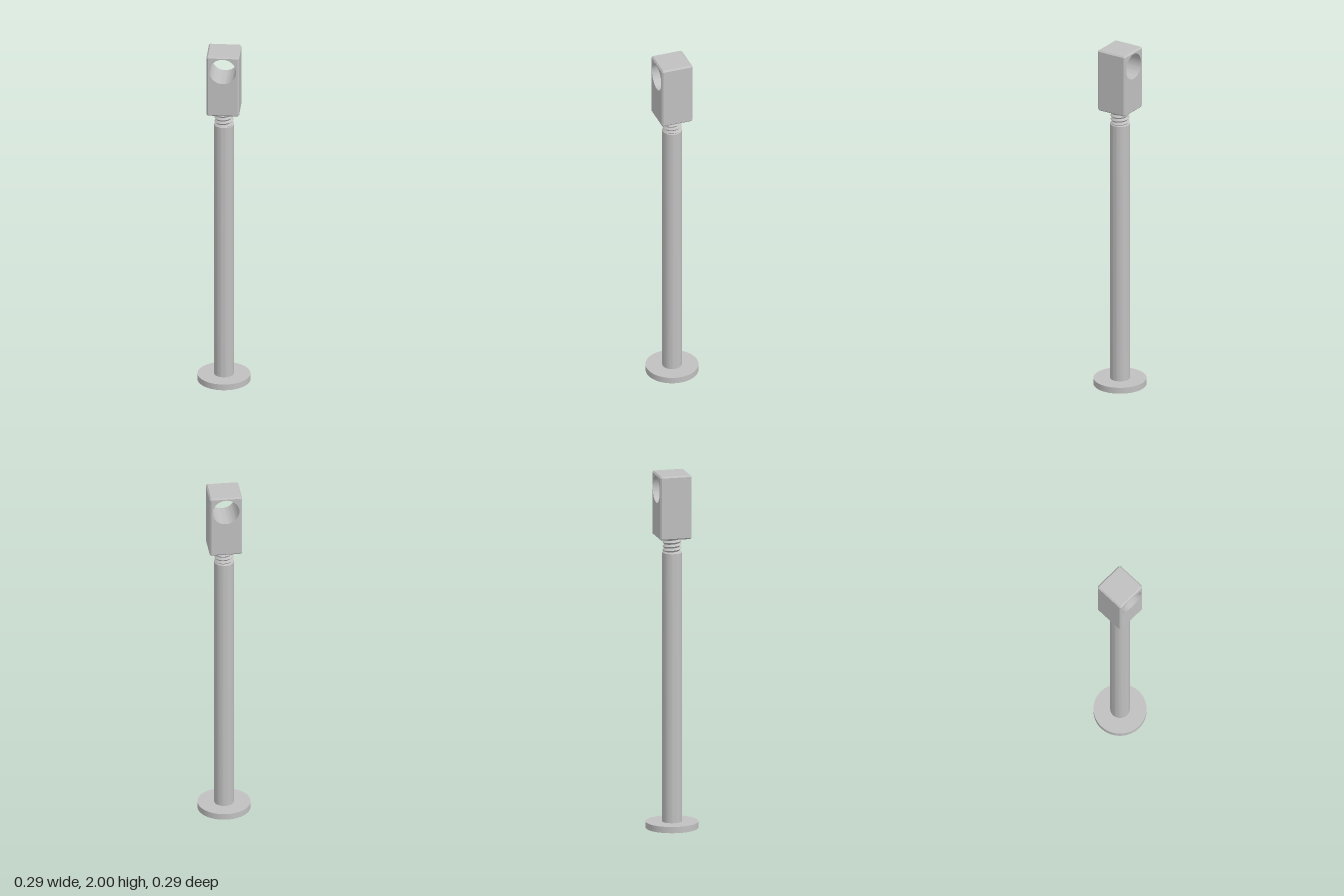
import * as THREE from 'three';
import { toCreasedNormals } from 'three/addons/utils/BufferGeometryUtils.js';

const SEGMENTS = 48;
const steel = new THREE.MeshStandardMaterial({ color: 0xc0c0c0 });
steel.name = 'plain steel grey';

// Chamfered square block with a straight round bore from front to back
function headGeometry() {
  const half = 0.09, bottom = 1.64, top = 2, chamfer = 0.008;
  const boreY = 1.912, boreR = 0.074;
  const x = half - chamfer, y0 = bottom + chamfer, y1 = top - chamfer;
  const cut = chamfer * (Math.SQRT2 - 1);
  const shape = new THREE.Shape([
    [-x + cut, y0], [x - cut, y0], [x, y0 + cut], [x, y1 - cut],
    [x - cut, y1], [-x + cut, y1], [-x, y1 - cut], [-x, y0 + cut],
  ].map(([px, py]) => new THREE.Vector2(px, py)));
  shape.holes.push(new THREE.Path().absarc(0, boreY, boreR, 0, Math.PI * 2, true));
  const depth = 2 * (half - chamfer);
  const geometry = new THREE.ExtrudeGeometry(shape, {
    depth, curveSegments: SEGMENTS, bevelEnabled: true,
    bevelThickness: chamfer, bevelSize: chamfer, bevelSegments: 1,
  });
  geometry.translate(0, 0, -depth / 2);
  // Keep the bore straight: only the outer edges stay chamfered
  const p = geometry.attributes.position;
  for (let i = 0; i < p.count; i++) {
    const dx = p.getX(i), dy = p.getY(i) - boreY, r = Math.hypot(dx, dy);
    if (r < 0.0765) p.setXY(i, dx / r * boreR, boreY + dy / r * boreR);
  }
  return toCreasedNormals(geometry, 0.5);
}

// Alternating crest and root rings, sheared by one pitch into a helix
function threadGeometry() {
  const pitch = 0.022, turns = 6, crest = 0.053, root = 0.043;
  const geometry = new THREE.CylinderGeometry(1, 1, pitch * turns, SEGMENTS, turns * 2, true);
  const p = geometry.attributes.position, uv = geometry.attributes.uv;
  for (let i = 0; i < p.count; i++) {
    const row = Math.round(uv.getY(i) * turns * 2);
    const r = row % 2 ? crest : root;
    p.setXYZ(i, p.getX(i) * r, p.getY(i) + pitch * (uv.getX(i) - 0.5), p.getZ(i) * r);
  }
  geometry.translate(0, 1.6, 0);
  return toCreasedNormals(geometry, 0.5);
}

// Round shaft with a small chamfer at the top
function shaftGeometry() {
  const profile = [[0.054, 0.03], [0.054, 1.553], [0.047, 1.56], [0, 1.56]]
    .map(([r, y]) => new THREE.Vector2(r, y));
  return toCreasedNormals(new THREE.LatheGeometry(profile, SEGMENTS), 0.5);
}

export function createModel() {
  const model = new THREE.Group();
  model.name = 'threadedPost';
  const add = (name, geometry) => {
    const mesh = new THREE.Mesh(geometry, steel);
    mesh.name = name;
    model.add(mesh);
  };
  add('baseDisc', new THREE.CylinderGeometry(0.146, 0.146, 0.035, SEGMENTS).translate(0, 0.0175, 0));
  add('shaft', shaftGeometry());
  add('thread', threadGeometry());
  add('boredHead', headGeometry());
  return model;
}
